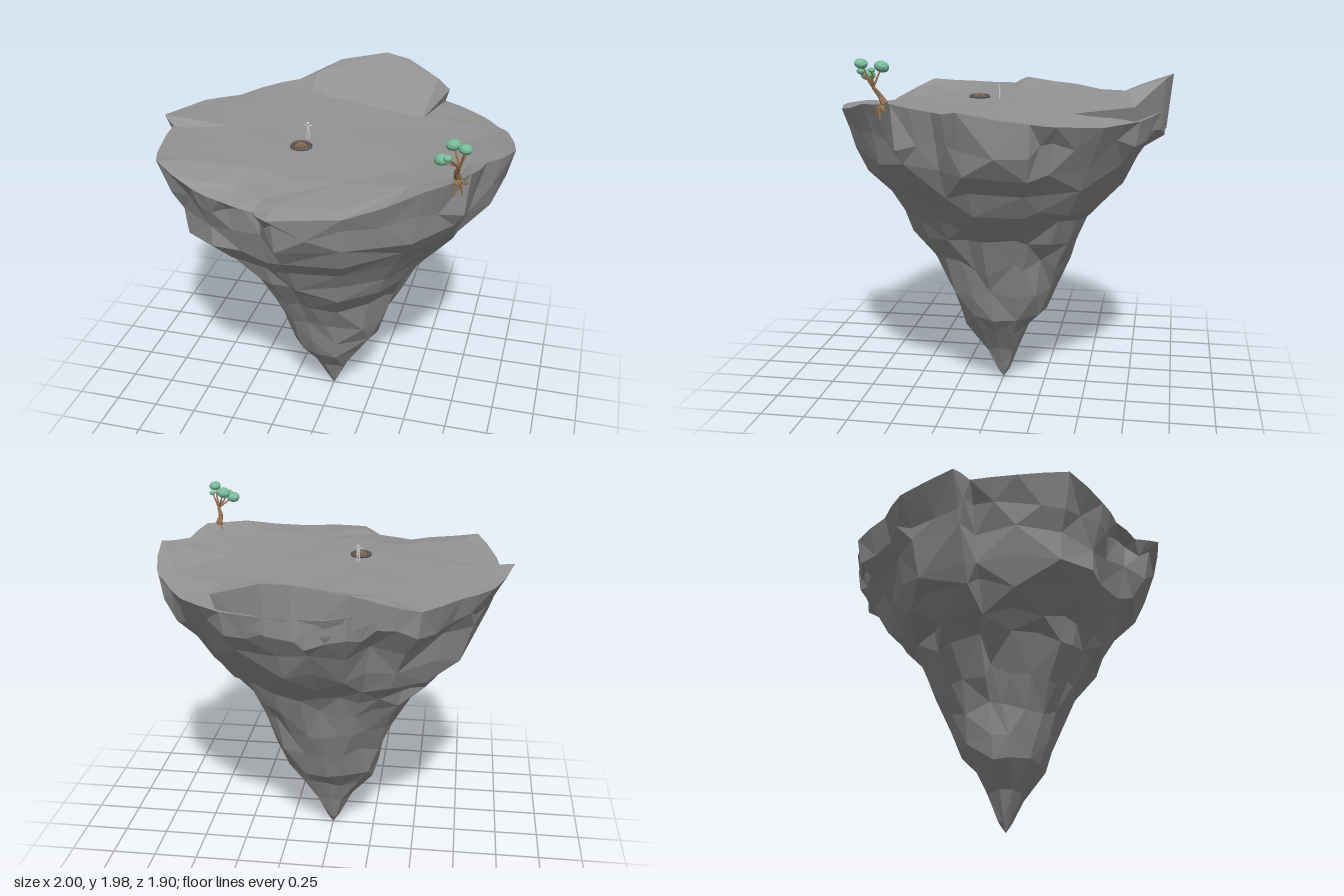
import * as THREE from 'three';
import { ConvexGeometry } from 'three/addons/geometries/ConvexGeometry.js';

const V = (x, y, z) => new THREE.Vector3(x, y, z);
const material = (color) => new THREE.MeshStandardMaterial({ color, flatShading: true, side: THREE.DoubleSide });
const rock = material(0x949494), bark = material(0x94704e), leaf = material(0x78bc9a);
const ash = material(0x5c5654), pale = material(0xcccccc);

let seed = 11;
const rand = () => {
  seed = (seed * 16807) % 2147483647;
  return seed / 2147483647 - 0.5;
};

// Rim of the plateau: x, z, y, clockwise from above
const RIM = [
  [1, .07, 1.75], [.87, .22, 1.73], [.82, .44, 1.76], [.62, .64, 1.73], [.27, .87, 1.65],
  [-.09, .95, 1.635], [-.2, .83, 1.61], [-.4, .76, 1.61], [-.56, .72, 1.64], [-.8, .59, 1.71],
  [-.88, .32, 1.69], [-.92, .07, 1.68], [-1, 0, 1.71], [-.89, -.34, 1.68], [-.72, -.5, 1.67],
  [-.53, -.75, 1.68], [-.32, -.78, 1.71], [-.18, -.9, 1.69], [.03, -.93, 1.68], [.22, -.9, 1.67],
  [.47, -.79, 1.65], [.71, -.62, 1.65], [.86, -.4, 1.67], [.93, -.28, 1.69],
];
// Side levels: y, reach to +x, -x, +z, -z, then how many columns merge into one
const LEVELS = [
  [1.55, .945, .92, .9, .91, 1], [1.42, .88, .86, .85, .81, 2], [1.28, .8, .785, .75, .71, 2],
  [1.17, .7, .71, .675, .62, 2], [1.07, .59, .61, .61, .52, 2], [.95, .5, .5, .53, .47, 2],
  [.8, .41, .4, .41, .4, 2], [.62, .34, .32, .32, .33, 3], [.46, .285, .28, .26, .26, 4],
  [.35, .2, .24, .22, .16, 4], [.21, .11, .12, .11, .1, 6], [.07, .04, .04, .04, .04, 6],
];
// Bulges and hollows in the sides: direction in degrees, y, half angle, half height, amount
const BUMPS = [
  [135, 1.26, 26, .1, .07], [130, 1.07, 22, .07, -.03], [-9, 1.44, 14, .06, .02], [-9, 1.28, 12, .09, -.04],
  [70, 1.28, 20, .07, .03], [70, 1.08, 18, .07, -.025], [215, 1.2, 18, .08, .04], [215, 1.07, 16, .07, -.025],
];

function bump(angle, y) {
  let sum = 0;
  for (const [dir, by, da, dy, amount] of BUMPS) {
    const off = THREE.MathUtils.euclideanModulo(angle - dir + 180, 360) - 180;
    sum += amount * Math.exp(-((off / da) ** 2) - ((y - by) / dy) ** 2);
  }
  return sum;
}

function buildIsland() {
  // Add a slightly uneven midpoint between neighbouring rim points
  const rim = RIM.flatMap((p, i) => {
    const q = RIM[(i + 1) % RIM.length];
    return [V(p[0], p[2], p[1]), V((p[0] + q[0]) / 2 * 1.01, (p[2] + q[2]) / 2 + rand() * .015, (p[1] + q[1]) / 2 * 1.01)];
  });
  const rings = [], steps = [];
  // Plateau from the middle to the rim, with broad facets inside
  for (const [s, step] of [[0, 48], [.3, 6], [.62, 4], [.88, 2]]) {
    rings.push(rim.map((p) => {
      const k = s > 0 ? s * (1 + rand() * .1) : 0;
      return V(p.x * k, 1.677 + (p.y - 1.677) * s ** 4 + (s > 0 ? rand() * .012 : 0), p.z * k);
    }));
    steps.push(step);
  }
  rings.push(rim);
  steps.push(1);
  // Tapering sides that keep the lumps of the rim near the top
  LEVELS.forEach(([y, px, nx, pz, nz, step], k) => {
    const fade = Math.max(0, 1 - k / 7);
    rings.push(rim.map((p) => {
      const r = Math.hypot(p.x, p.z), c = p.x / r, s = p.z / r;
      const angle = THREE.MathUtils.radToDeg(Math.atan2(s, c));
      const reach = 1 / Math.hypot(c / (c > 0 ? px : nx), s / (s > 0 ? pz : nz));
      const lump = 1 + (r * Math.hypot(c, s / .95) - 1) * fade;
      const R = reach * lump * (1 + rand() * .06) + bump(angle, y);
      return V(c * R, y + rand() * (k < 8 ? .08 : .03), s * R);
    }));
    steps.push(step);
  });
  rings.push(rim.map(() => V(0, 0, 0)));
  steps.push(48);

  const n = rim.length, index = [];
  const id = (j, i) => j * n + Math.floor((i % n) / steps[j]) * steps[j];
  const face = (a, b, c) => {
    if (a !== b && b !== c && c !== a) index.push(a, b, c);
  };
  for (let j = 0; j < rings.length - 1; j++) {
    for (let i = 0; i < n; i++) {
      const a = id(j, i), b = id(j, i + 1), c = id(j + 1, i), d = id(j + 1, i + 1);
      // Alternate the diagonals so that no bands show
      if ((Math.floor(i / steps[j]) + j) % 2) {
        face(a, b, c);
        face(b, d, c);
      } else {
        face(a, b, d);
        face(a, d, c);
      }
    }
  }
  const geometry = new THREE.BufferGeometry().setFromPoints(rings.flat());
  geometry.setIndex(index);
  geometry.computeVertexNormals();
  return geometry;
}

function add(parent, name, geometry, mat, pos = [0, 0, 0], scale = [1, 1, 1]) {
  const mesh = new THREE.Mesh(geometry, mat);
  mesh.name = name;
  mesh.position.set(...pos);
  mesh.scale.set(...scale);
  parent.add(mesh);
  return mesh;
}

// Tapered limb between two points
function limb(parent, name, a, b, r0, r1, mat) {
  const dir = b.clone().sub(a);
  const mesh = add(parent, name, new THREE.CylinderGeometry(r1, r0, dir.length(), 6), mat);
  mesh.position.copy(a).addScaledVector(dir, .5);
  mesh.quaternion.setFromUnitVectors(V(0, 1, 0), dir.normalize());
}

function group(parent, name) {
  const g = new THREE.Group();
  g.name = name;
  parent.add(g);
  return g;
}

export function createModel() {
  const model = new THREE.Group();
  model.name = 'floatingIsland';
  add(model, 'islandRock', buildIsland(), rock);

  // Sloping slab rising at the back edge
  add(model, 'risingSlab', new ConvexGeometry([
    V(-.31, 1.675, -.6), V(.42, 1.67, -.4), V(.45, 1.81, -.72), V(.52, 1.73, -.76), V(.24, 1.845, -.91),
    V(.09, 1.86, -.95), V(-.19, 1.805, -.91), V(-.31, 1.755, -.77), V(-.46, 1.685, -.75),
    V(-.17, 1.6, -.88), V(.08, 1.56, -.92), V(.22, 1.57, -.89), V(.48, 1.6, -.76), V(.1, 1.5, -.7),
  ]), rock);

  // Tree at the edge
  const tree = group(model, 'tree');
  const foot = V(.76, 1.75, .48), bend = V(.752, 1.79, .505), fork = V(.77, 1.835, .535);
  limb(tree, 'trunk', foot, bend, .02, .014, bark);
  limb(tree, 'trunk', bend, fork, .014, .01, bark);
  for (const [x, y, z] of [[.72, 1.69, .5], [.75, 1.67, .53], [.79, 1.67, .5], [.82, 1.72, .46], [.73, 1.73, .43]]) {
    const knee = V((x + foot.x) / 2, 1.73, (z + foot.z) / 2 + .015);
    limb(tree, 'root', foot, knee, .011, .008, bark);
    limb(tree, 'root', knee, V(x, y, z), .008, .003, bark);
  }
  const crowns = [
    [.69, 1.89, .585, .04], [.8, 1.955, .585, .035], [.73, 1.935, .5, .04], [.72, 1.91, .61, .024], [.805, 1.925, .53, .018],
  ];
  for (const [x, y, z, r] of crowns) {
    limb(tree, 'branch', fork, V(x, y, z), .007, .003, bark);
    const crown = add(tree, 'foliage', new THREE.IcosahedronGeometry(r, 1), leaf, [x, y, z], [1, .75, 1]);
    crown.rotation.set(rand() * .5, 0, rand() * .5);
  }

  // Campfire: stone ring with stacked logs
  const fire = group(model, 'campfire');
  fire.position.set(-.14, 1.677, .165);
  const ring = add(fire, 'stoneRing', new THREE.TorusGeometry(.05, .013, 5, 11), ash, [0, .006, 0]);
  ring.rotation.x = Math.PI / 2;
  add(fire, 'ashBed', new THREE.CylinderGeometry(.045, .05, .01, 12), ash);
  for (let i = 0; i < 7; i++) {
    const a = i / 7 * Math.PI * 2;
    limb(fire, 'log', V(Math.cos(a) * .036, .005, Math.sin(a) * .036), V(Math.cos(a) * .004, .024, Math.sin(a) * .004), .005, .004, bark);
  }

  // Small standing figure
  const figure = group(model, 'figure');
  figure.position.set(-.135, 1.675, .045);
  add(figure, 'head', new THREE.SphereGeometry(.009, 8, 6), pale, [0, .092, 0]);
  add(figure, 'torso', new THREE.CylinderGeometry(.012, .009, .036, 6), pale, [0, .065, 0], [1, 1, .6]);
  for (const s of [-1, 1]) {
    limb(figure, 'leg', V(s * .008, 0, 0), V(s * .005, .05, 0), .004, .005, pale);
    limb(figure, 'arm', V(s * .01, .08, 0), V(s * .027, .078, .002), .004, .003, pale);
  }
  return model;
}
